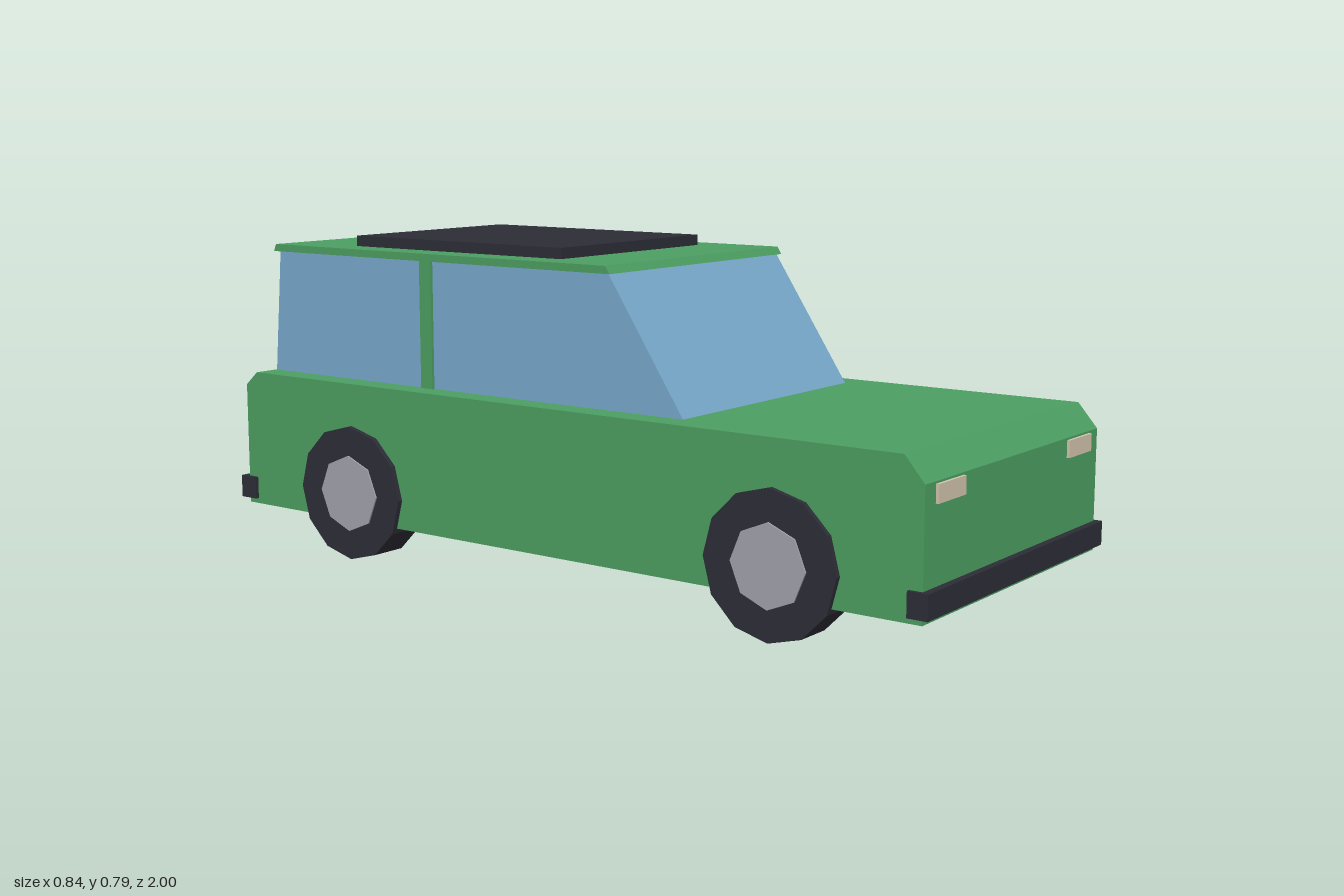
import * as THREE from 'three';

const mat = (name, color) => {
  const m = new THREE.MeshStandardMaterial({ color });
  m.name = name;
  return m;
};

export function createModel() {
  const paint = mat('green paint', 0x4c9f62);
  const glass = mat('blue glass', 0x78a9cc);
  const dark = mat('dark rubber', 0x2d2d37);
  const metal = mat('hub grey', 0xa2a3ac);
  const cream = mat('headlight cream', 0xd2c5ac);
  const red = mat('tail light red', 0xb81c1c);
  const car = new THREE.Group();
  car.name = 'car';

  const add = (name, geometry, material) => {
    const mesh = new THREE.Mesh(geometry, material);
    mesh.name = name;
    car.add(mesh);
    return mesh;
  };
  // Box given by its limits on each axis
  const box = (name, material, [x0, x1], [y0, y1], [z0, z1]) =>
    add(name, new THREE.BoxGeometry(x1 - x0, y1 - y0, z1 - z0), material)
      .position.set((x0 + x1) / 2, (y0 + y1) / 2, (z0 + z1) / 2);
  // Side profile of [z, y] points, extruded across the car
  const across = (name, material, halfWidth, points) => {
    const shape = new THREE.Shape(points.map(([z, y]) => new THREE.Vector2(z, y)));
    const geometry = new THREE.ExtrudeGeometry(shape, { depth: halfWidth * 2, bevelEnabled: false });
    geometry.translate(0, 0, -halfWidth).rotateY(-Math.PI / 2);
    return add(name, geometry, material);
  };

  // Body shell, glass cabin and roof
  across('body', paint, 0.404, [[-0.979, 0.095], [0.983, 0.095], [0.983, 0.38],
    [0.935, 0.436], [-0.94, 0.436], [-0.979, 0.402]]);
  across('cabinGlass', glass, 0.339, [[-0.937, 0.43], [0.356, 0.43], [0.142, 0.75], [-0.909, 0.75]]);
  across('roof', paint, 0.347, [[-0.925, 0.742], [0.157, 0.742], [0.145, 0.76], [-0.917, 0.76]]);
  box('roofPanel', dark, [-0.27, 0.27], [0.755, 0.786], [-0.705, -0.045]);

  // Bumpers
  box('frontBumper', dark, [-0.413, 0.413], [0.108, 0.164], [0.952, 1]);
  box('rearBumper', dark, [-0.413, 0.413], [0.108, 0.164], [-1, -0.948]);

  for (const [side, s] of [['left', 1], ['right', -1]]) {
    const span = (a, b) => (s > 0 ? [a, b] : [-b, -a]);
    box(`${side}Pillar`, paint, span(0.33, 0.346), [0.43, 0.75], [-0.421, -0.384]);
    box(`${side}Headlight`, cream, span(0.245, 0.36), [0.335, 0.375], [0.97, 0.99]);
    box(`${side}TailLight`, red, span(0.258, 0.348), [0.337, 0.374], [-0.99, -0.97]);

    // Low-poly wheels with octagonal hubs
    for (const [end, z] of [['Front', 0.627], ['Rear', -0.602]]) {
      const tyre = new THREE.CylinderGeometry(0.166, 0.166, 0.092, 12).toNonIndexed();
      const hub = new THREE.CylinderGeometry(0.094, 0.094, 0.1, 8).toNonIndexed();
      for (const g of [tyre, hub]) {
        g.rotateZ(Math.PI / 2);
        g.computeVertexNormals();
      }
      add(`${side}${end}Tyre`, tyre, dark).position.set(s * 0.371, 0.166, z);
      add(`${side}${end}Hub`, hub, metal).position.set(s * 0.371, 0.166, z);
    }
  }
  return car;
}
